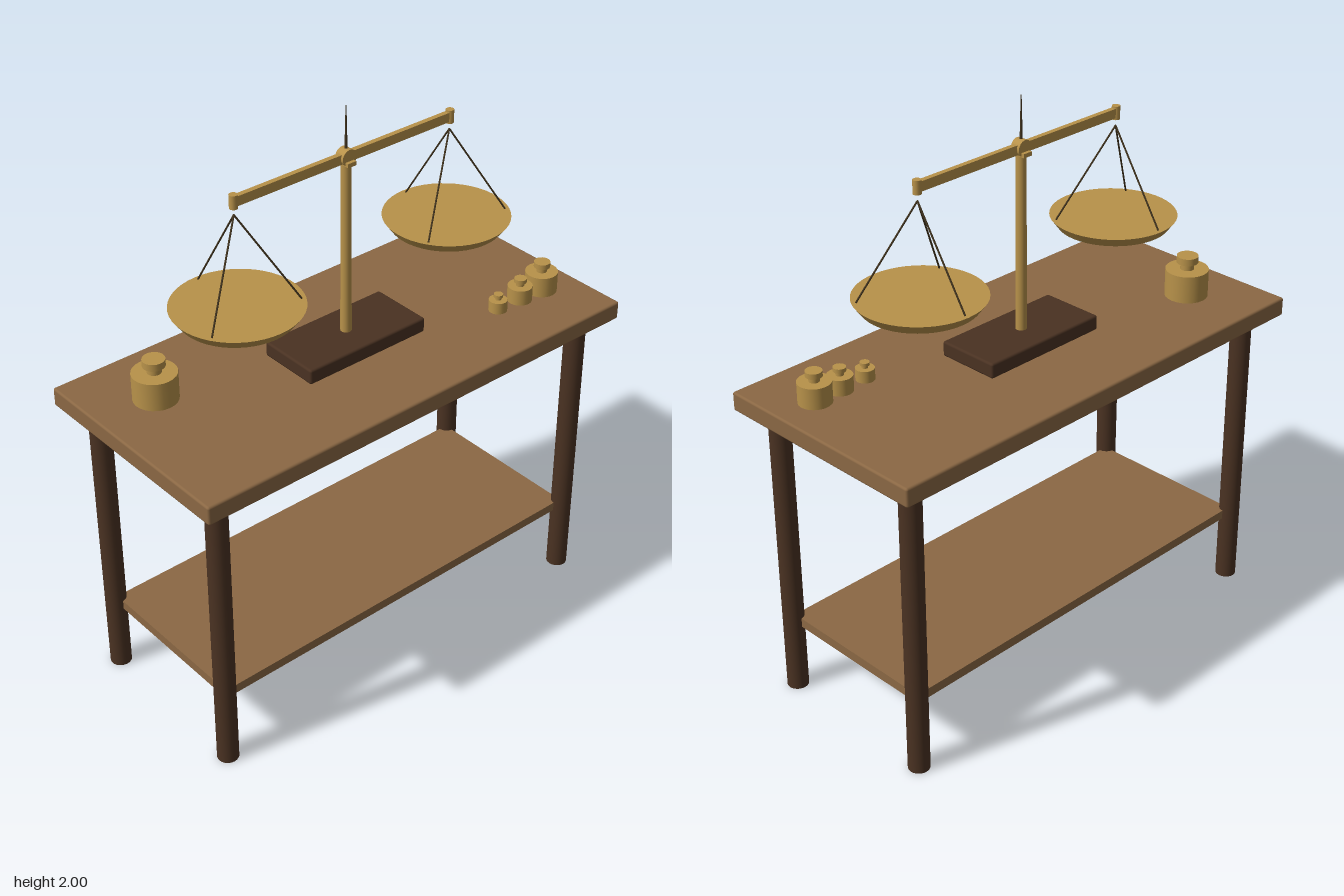
import * as THREE from 'three';
import { RoundedBoxGeometry } from 'three/addons/geometries/RoundedBoxGeometry.js';

function material(name, color) {
  const m = new THREE.MeshStandardMaterial({ color });
  m.name = name;
  return m;
}

export function createModel() {
  const root = new THREE.Group();
  root.name = 'balanceScaleTable';
  const wood = material('wood', 0x8b6844);
  const darkWood = material('darkWood', 0x4a3222);
  const brass = material('brass', 0xb8924a);
  const wire = material('darkWire', 0x43351f);

  const add = (name, geometry, mat, x, y, z, parent = root) => {
    const mesh = new THREE.Mesh(geometry, mat);
    mesh.name = name;
    mesh.position.set(x, y, z);
    parent.add(mesh);
    return mesh;
  };
  const cyl = (rTop, rBottom, h, sides = 24) => new THREE.CylinderGeometry(rTop, rBottom, h, sides);

  // Thin rod between two points
  const rod = (name, a, b, r, parent) => {
    const dir = b.clone().sub(a);
    const mid = a.clone().add(b).multiplyScalar(0.5);
    const mesh = add(name, cyl(r, r, dir.length(), 8), wire, mid.x, mid.y, mid.z, parent);
    mesh.quaternion.setFromUnitVectors(new THREE.Vector3(0, 1, 0), dir.normalize());
  };

  // Table
  add('tableTop', new RoundedBoxGeometry(1.75, 0.067, 0.816, 2, 0.008), wood, 0, 1.108, 0);
  add('shelf', new THREE.BoxGeometry(1.54, 0.034, 0.61), wood, 0, 0.267, 0);
  for (const x of [-0.775, 0.775]) {
    for (const z of [-0.307, 0.307]) {
      add('leg', cyl(0.037, 0.037, 1.076), darkWood, x, 0.538, z);
    }
  }

  // Stand: base, post, hub, knife edge and pointer
  add('scaleBase', new RoundedBoxGeometry(0.49, 0.054, 0.23, 2, 0.008), darkWood, 0, 1.168, 0);
  add('post', cyl(0.017, 0.019, 0.63), brass, 0, 1.51, 0);
  add('hub', cyl(0.028, 0.028, 0.036), brass, 0, 1.828, 0).rotation.x = Math.PI / 2;
  add('knifeEdge', new THREE.BoxGeometry(0.034, 0.014, 0.06), brass, 0, 1.81, 0);
  add('pointer', cyl(0.0015, 0.005, 0.15, 8), wire, 0, 1.925, 0);

  // Beam with a pan hanging from each end
  add('beam', new THREE.BoxGeometry(0.88, 0.033, 0.018), brass, 0, 1.826, 0);
  for (const side of [-1, 1]) {
    const hanger = new THREE.Group();
    hanger.name = side > 0 ? 'leftPan' : 'rightPan';
    hanger.position.x = side * 0.438;
    root.add(hanger);
    add('beamEnd', cyl(0.014, 0.014, 0.046, 16), brass, 0, 1.826, 0, hanger);
    add('pan', cyl(0.215, 0.19, 0.034, 48), brass, 0, 1.45, 0, hanger);
    for (let i = 0; i < 3; i++) {
      const a = -Math.PI / 2 + (i * Math.PI * 2) / 3;
      rod('panWire', new THREE.Vector3(0, 1.78, 0),
        new THREE.Vector3(0.2 * Math.cos(a), 1.467, 0.2 * Math.sin(a)), 0.003, hanger);
    }
  }

  // Weights: body, neck and knob, all scaled from the radius
  for (const [x, z, r] of [[-0.658, -0.15, 0.075], [0.73, 0.175, 0.056], [0.628, 0.175, 0.043], [0.525, 0.175, 0.032]]) {
    const weight = new THREE.Group();
    weight.name = 'weight';
    weight.position.set(x, 1.14, z);
    root.add(weight);
    add('weightBody', cyl(r, r, 1.33 * r), brass, 0, 0.665 * r, 0, weight);
    add('weightNeck', cyl(0.32 * r, 0.32 * r, 0.36 * r), brass, 0, 1.49 * r, 0, weight);
    add('weightKnob', cyl(0.5 * r, 0.5 * r, 0.33 * r), brass, 0, 1.82 * r, 0, weight);
  }
  return root;
}
